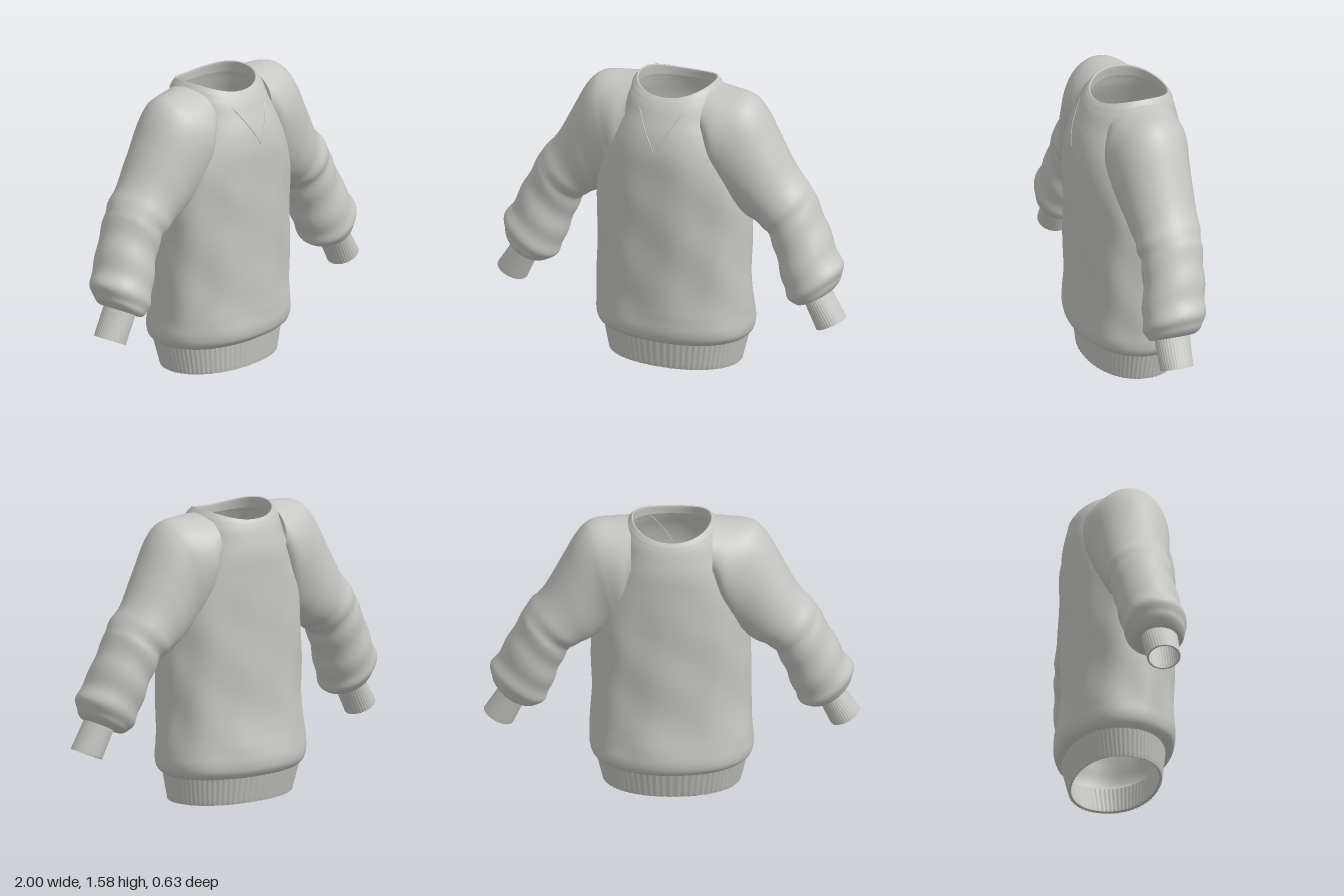
import * as THREE from 'three';

// Smooth surface through closed rings; the stations are interpolated along their keys
function loft(stations, rows, cols, point, { flip = false, linear = false, keyed = false } = {}) {
  const size = stations[0].length;
  const keys = stations.map((s, i) => (keyed ? s[0] : i));
  const Interp = linear ? THREE.LinearInterpolant : THREE.CubicInterpolant;
  const curve = new Interp(keys, stations.flat(), size, new Float32Array(size));
  const pos = [], index = [];
  const first = keys[0], span = keys[keys.length - 1] - first;
  for (let i = 0; i <= rows; i++) {
    const t = first + (span * i) / rows;
    const s = Array.from(curve.evaluate(t));
    for (let j = 0; j < cols; j++) pos.push(...point(s, (j / cols) * Math.PI * 2, t));
  }
  for (let i = 0; i < rows; i++) {
    for (let j = 0; j < cols; j++) {
      const a = i * cols + j, b = i * cols + ((j + 1) % cols), c = a + cols, d = b + cols;
      if (flip) index.push(a, b, c, b, d, c);
      else index.push(a, c, b, b, c, d);
    }
  }
  const geo = new THREE.BufferGeometry();
  geo.setAttribute('position', new THREE.Float32BufferAttribute(pos, 3));
  geo.setIndex(index);
  geo.computeVertexNormals();
  return geo;
}

const ROUND = 2 / 2.15;
const bend = (v) => Math.sign(v) * Math.abs(v) ** ROUND;

// Body ring: [y, half width, front z, back z, rise at the sides]
function bodyPoint([y, w, front, back, rise], a, grow = 0) {
  const c = Math.cos(a), s = Math.sin(a);
  const mid = (front + back) / 2, depth = (front - back) / 2;
  return [(w + grow) * bend(c), y + rise * c * c, mid + (depth + grow) * bend(s)];
}

const TORSO = [
  [0.145, 0.395, 0.25, -0.27, 0],
  [0.17, 0.422, 0.29, -0.3, 0],
  [0.21, 0.435, 0.308, -0.314, 0],
  [0.3, 0.432, 0.308, -0.308, 0],
  [0.38, 0.428, 0.303, -0.295, 0],
  [0.5, 0.424, 0.301, -0.281, 0],
  [0.8, 0.424, 0.305, -0.279, 0],
  [1.1, 0.412, 0.309, -0.28, 0],
  [1.25, 0.36, 0.306, -0.28, 0],
  [1.35, 0.315, 0.284, -0.278, 0],
  [1.42, 0.282, 0.255, -0.266, 0.005],
  [1.5, 0.248, 0.215, -0.243, 0.025],
  [1.533, 0.212, 0.187, -0.226, 0.045],
];

// Sleeve ring: [outer x, outer y, inner x, inner y, front z, back z]
const SLEEVE = [
  [0.216, 1.562, 0.216, 1.25, 0.185, -0.215],
  [0.3, 1.555, 0.25, 1.1, 0.22, -0.238],
  [0.4, 1.548, 0.28, 1.0, 0.216, -0.228],
  [0.46, 1.52, 0.31, 0.95, 0.208, -0.214],
  [0.52, 1.445, 0.34, 0.92, 0.198, -0.205],
  [0.6, 1.29, 0.38, 0.9, 0.183, -0.198],
  [0.7, 1.115, 0.45, 0.855, 0.166, -0.192],
  [0.77, 1.035, 0.51, 0.825, 0.166, -0.182],
  [0.802, 0.965, 0.55, 0.78, 0.16, -0.176],
  [0.857, 0.86, 0.585, 0.7, 0.166, -0.166],
  [0.91, 0.74, 0.62, 0.6, 0.184, -0.154],
  [0.96, 0.655, 0.65, 0.51, 0.198, -0.14],
  [0.956, 0.59, 0.68, 0.45, 0.194, -0.12],
  [0.93, 0.535, 0.73, 0.428, 0.172, -0.08],
  [0.905, 0.515, 0.775, 0.45, 0.15, -0.045],
];

// Cuff: outside to the opening, then back up the inside
const CUFF = [
  [0.902, 0.52, 0.772, 0.455, 0.148, -0.043],
  [0.997, 0.372, 0.842, 0.3, 0.145, -0.033],
  [0.988, 0.368, 0.851, 0.304, 0.135, -0.023],
  [0.892, 0.515, 0.782, 0.46, 0.138, -0.033],
];

// Hem: up the inside, over the bottom edge and up the outside
const HEM = [
  [0.15, 0.385, 0.238, -0.258, 0],
  [0.006, 0.35, 0.222, -0.222, 0],
  [0.0, 0.366, 0.238, -0.236, 0],
  [0.15, 0.4, 0.254, -0.274, 0],
];

// Collar band: over the neck edge and down the inside
const COLLAR = [
  [1.498, 0.253, 0.221, -0.249, 0.026],
  [1.52, 0.235, 0.206, -0.239, 0.037],
  [1.538, 0.213, 0.188, -0.226, 0.046],
  [1.535, 0.206, 0.181, -0.219, 0.045],
  [1.49, 0.215, 0.185, -0.222, 0.03],
];

export function createModel() {
  const model = new THREE.Group();
  const cloth = new THREE.MeshStandardMaterial({ color: 0xc6c6c2, side: THREE.DoubleSide });
  cloth.name = 'grey knit';
  const add = (name, geo) => {
    const mesh = new THREE.Mesh(geo, cloth);
    mesh.name = name;
    model.add(mesh);
  };

  // Torso with soft vertical drape that fades towards the neck
  add('torso', loft(TORSO, 90, 120, (s, a, y) => {
    const fade = Math.max(0, Math.min(1, (y - 0.15) * 6, (1.3 - y) * 3));
    const drape = 0.004 * Math.sin(9 * a + 3 * y) + 0.003 * Math.sin(5 * a - 14 * y);
    return bodyPoint(s, a, drape * fade);
  }, { keyed: true }));

  // Ribbed hem
  add('hem', loft(HEM, 18, 288, (s, a) => bodyPoint(s, a, 0.002 * Math.sin(72 * a)), { linear: true }));

  // Collar band
  add('collar', loft(COLLAR, 16, 96, (s, a) => bodyPoint(s, a), { linear: true }));

  // V stitch below the collar, laid on the torso front
  const curve = new THREE.CubicInterpolant(TORSO.map((s) => s[0]), TORSO.flat(), 5, new Float32Array(5));
  const stitch = [];
  for (let i = -8; i <= 8; i++) {
    const x = (i / 8) * 0.125, y = 1.26 + Math.abs(i / 8) * 0.215;
    const [, w, front, back] = curve.evaluate(y);
    const z = (front + back) / 2 + ((front - back) / 2) * (1 - Math.abs(x / w) ** 2.15) ** (1 / 2.15);
    stitch.push(new THREE.Vector3(x, y, z));
  }
  add('neckStitch', new THREE.TubeGeometry(new THREE.CatmullRomCurve3(stitch), 48, 0.0035, 6));

  for (const side of [1, -1]) {
    const label = side > 0 ? 'left' : 'right';
    const armPoint = ([ox, oy, ix, iy, front, back], a, swell) => {
      const c = Math.cos(a) * (1 + swell), s = Math.sin(a) * (1 + swell);
      return [
        side * ((ox + ix) / 2 + ((ox - ix) / 2) * c),
        (oy + iy) / 2 + ((oy - iy) / 2) * c,
        (front + back) / 2 + ((front - back) / 2) * s,
      ];
    };
    // Sleeve with slanting folds from the elbow down
    add(label + 'Sleeve', loft(SLEEVE, 112, 72, (s, a, t) => {
      const fade = Math.max(0, Math.min(1, (t - 4.5) / 2, (13.5 - t) / 1.5));
      return armPoint(s, a, 0.022 * fade * Math.sin(4 * t + 1.8 * Math.cos(a + side * 0.6)));
    }, { flip: side > 0 }));
    // Ribbed cuff
    add(label + 'Cuff', loft(CUFF, 18, 144,
      (s, a) => armPoint(s, a, 0.012 * Math.sin(36 * a)), { flip: side > 0, linear: true }));
  }
  return model;
}
